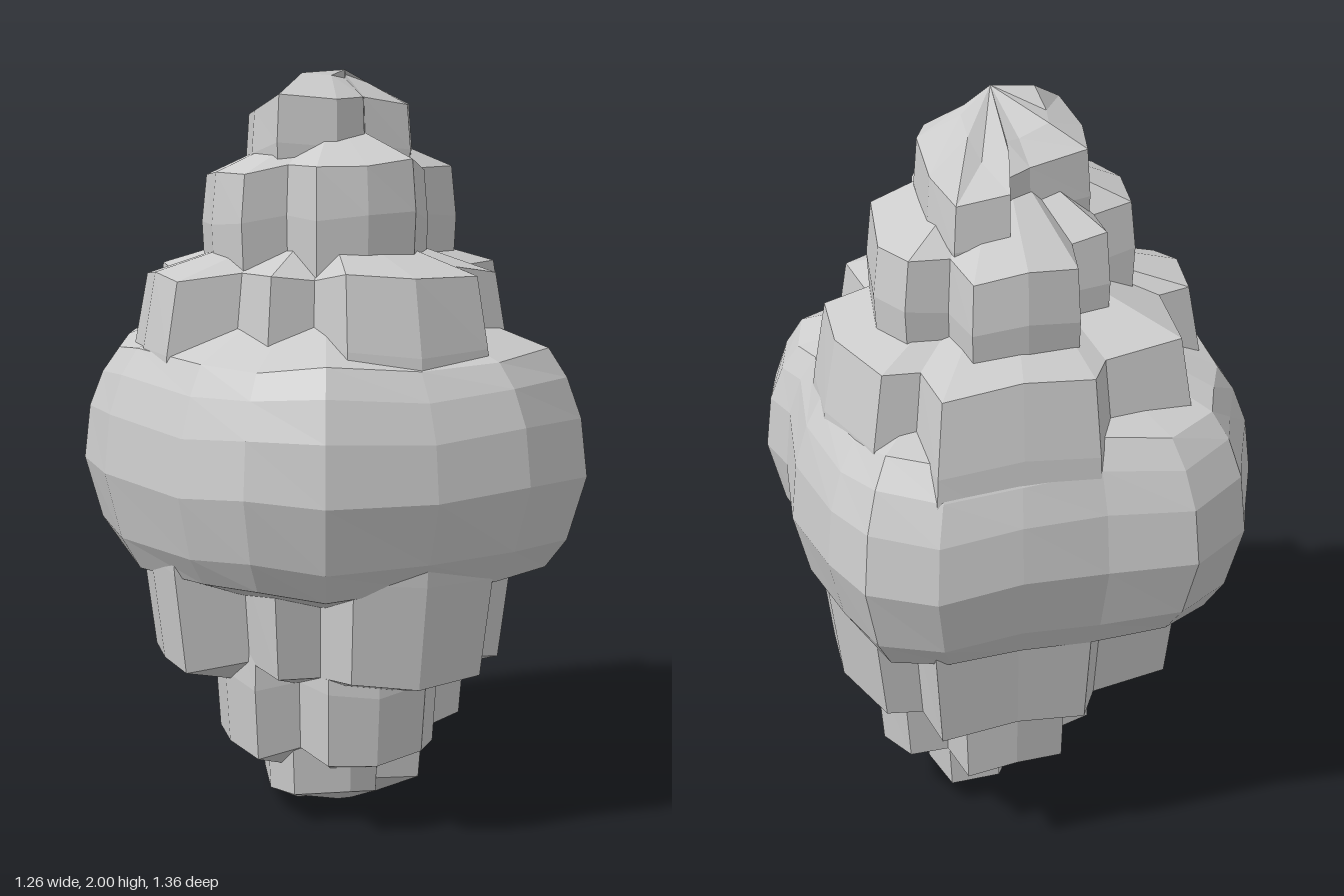
import * as THREE from 'three';

// Outlines [x, z], clockwise seen from above, starting at the back left
const BELLY = [[-0.45, -0.58], [-0.28, -0.68], [-0.05, -0.65], [0.18, -0.66], [0.4, -0.66], [0.56, -0.57],
  [0.61, -0.4], [0.63, -0.1], [0.58, 0.17], [0.6, 0.32], [0.55, 0.47], [0.29, 0.645], [0.02, 0.675],
  [-0.27, 0.645], [-0.44, 0.53], [-0.54, 0.33], [-0.63, 0], [-0.61, -0.25], [-0.52, -0.43]];
const WIDE = [[-0.32, -0.45], [-0.1, -0.48], [-0.04, -0.57], [0.15, -0.57], [0.36, -0.57], [0.37, -0.42],
  [0.47, -0.42], [0.52, -0.15], [0.5, 0.03], [0.37, 0.1], [0.37, 0.3], [0.23, 0.34], [0.22, 0.49],
  [0.02, 0.54], [-0.15, 0.49], [-0.17, 0.33], [-0.29, 0.33], [-0.31, 0.17], [-0.48, 0.14],
  [-0.5, 0.02], [-0.47, -0.14], [-0.38, -0.15]];
const MIDDLE = [[-0.17, -0.3], [-0.07, -0.31], [-0.04, -0.44], [0.1, -0.46], [0.24, -0.45], [0.26, -0.32],
  [0.37, -0.32], [0.41, -0.18], [0.37, 0.03], [0.24, 0.09], [0.21, 0.19], [0.11, 0.33], [-0.03, 0.35],
  [-0.16, 0.32], [-0.18, 0.17], [-0.3, 0.16], [-0.33, 0.02], [-0.3, -0.14], [-0.19, -0.15]];
const CAP = [[-0.17, -0.15], [0, -0.18], [0.08, -0.22], [0.1, -0.32], [0.24, -0.31], [0.27, -0.18], [0.25, 0],
  [0.2, 0.1], [0.07, 0.1], [0.05, 0.14], [-0.04, 0.17], [-0.19, 0.13], [-0.21, 0]];

const material = new THREE.MeshStandardMaterial({ color: 0xcccccc, flatShading: true });

// Lofts an outline through rings [y, scale], closed by fans to a low and a high point
function rock(name, outline, rings, low, high, tiltZ = 0) {
  const position = [];
  const tri = (...corners) => corners.forEach((c) => position.push(...c));
  const loops = rings.map(([y, s], r) => outline.map(([x, z], i) => [
    x * s, y + tiltZ * z + 0.012 * Math.sin(i * 2.3 + r * 0.6), z * s]));
  const n = outline.length;
  for (let i = 0; i < n; i++) {
    const j = (i + 1) % n;
    for (let r = 0; r < loops.length - 1; r++) {
      const lower = loops[r], upper = loops[r + 1];
      tri(lower[i], upper[i], upper[j]);
      tri(lower[i], upper[j], lower[j]);
    }
    const top = loops[loops.length - 1];
    tri(top[i], high, top[j]);
    tri(loops[0][i], loops[0][j], low);
  }
  const geometry = new THREE.BufferGeometry();
  geometry.setAttribute('position', new THREE.Float32BufferAttribute(position, 3));
  geometry.computeVertexNormals();
  const mesh = new THREE.Mesh(geometry, material);
  mesh.name = name;
  return mesh;
}

// Three shrinking terraces; heights and tilts of the rims run from wide to cap
function terraces(name, outlines, heights, tilts, peak) {
  const [wide, middle, cap] = heights;
  const group = new THREE.Group();
  group.name = name;
  group.add(
    rock('wideTier', outlines[0], [[1.1, 1.08], [1.28, 1.05], [wide, 0.98]],
      [0, 1.1, 0], [0, wide + 0.15, 0], tilts[0]),
    rock('middleTier', outlines[1], [[1.4, 0.98], [1.6, 1.01], [middle, 0.97]],
      [0, 1.4, 0], [0.02, middle + 0.15, 0], tilts[1]),
    rock('capTier', outlines[2], [[1.65, 0.97], [1.78, 1.01], [cap, 0.97], [cap + 0.055, 0.5]],
      [0, 1.65, 0], peak, tilts[2]),
  );
  return group;
}

export function createModel() {
  const model = new THREE.Group();
  model.name = 'boulder';

  // Bulging middle
  model.add(rock('belly', BELLY,
    [[0.7, 0.85], [0.78, 0.93], [0.95, 1], [1.1, 0.975], [1.2, 0.92], [1.27, 0.85]],
    [0, 0.5, 0], [0, 1.5, 0]));

  const outlines = [WIDE, MIDDLE, CAP];
  model.add(terraces('upperTerraces', outlines, [1.47, 1.73, 1.9], [0.04, 0.1, 0.2], [0.02, 2, 0.08]));

  // The same steps hang below, set forward; outlines are mirrored so the turned group faces front
  const forward = [0.04, 0.08, 0.1];
  const mirrored = outlines.map((o, k) => o.map(([x, z]) => [x, -z - forward[k]]).reverse());
  const lower = terraces('lowerTerraces', mirrored, [1.55, 1.79, 1.92], [0, 0, 0], [0.07, 2, 0.07]);
  lower.rotation.x = Math.PI;
  lower.position.y = 2;
  model.add(lower);
  return model;
}
